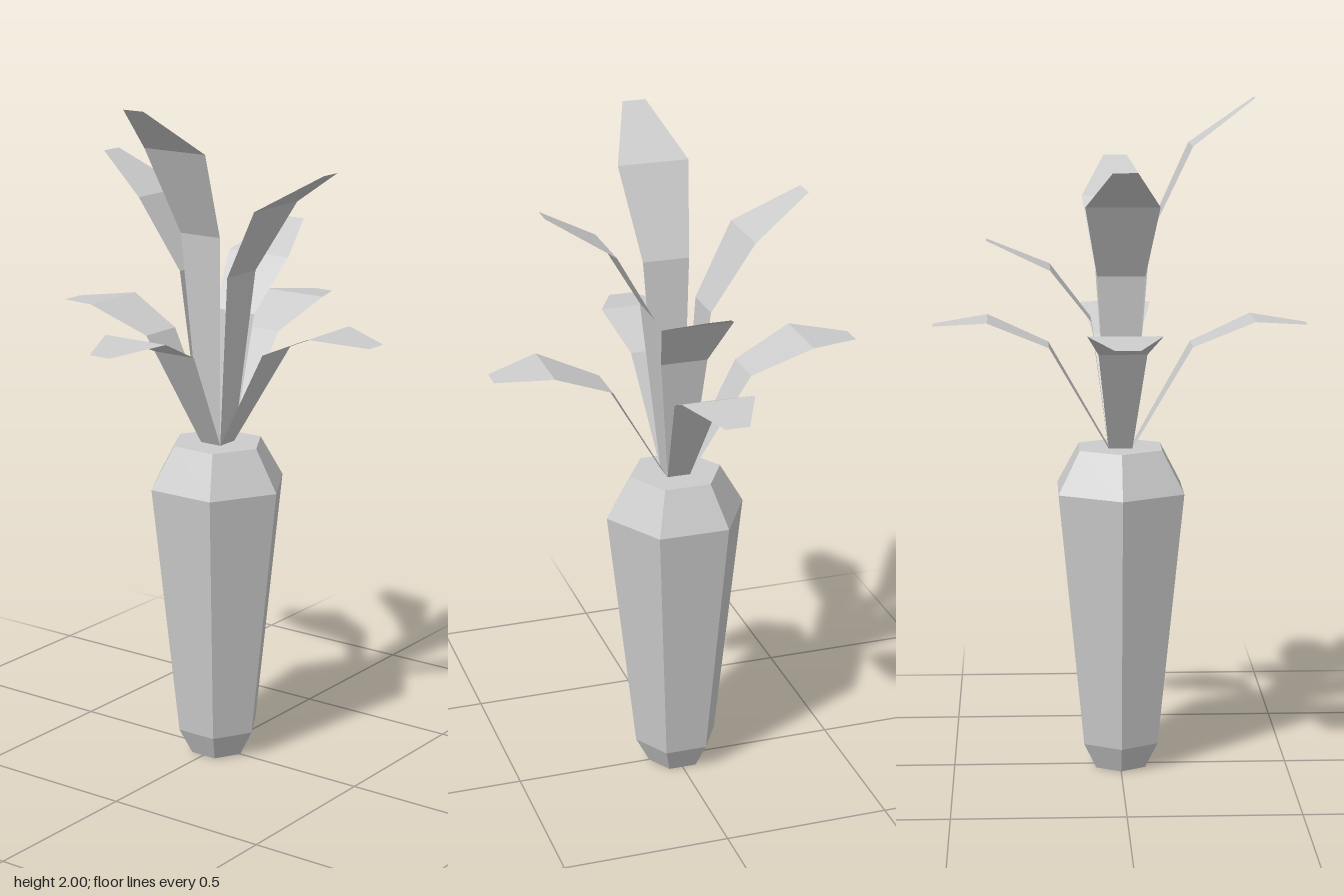
import * as THREE from 'three';

const rootMaterial = new THREE.MeshStandardMaterial({ color: 0xcccccc, flatShading: true });
const leafMaterial = new THREE.MeshStandardMaterial({
  color: 0xcccccc, flatShading: true, side: THREE.DoubleSide,
});

const BASE_Y = 0.975;
const HALF_WIDTHS = [0.035, 0.07, 0.107, 0.035];

// Thin bent strip growing along +z; stations are [distance outwards, height].
function makeLeaf(name, stations, angle) {
  const positions = [];
  const index = [];
  stations.forEach(([z, y], i) => {
    const w = HALF_WIDTHS[i];
    positions.push(-w, y, z, w, y, z);
    if (i > 0) {
      const a = (i - 1) * 2;
      index.push(a, a + 2, a + 1, a + 1, a + 2, a + 3);
    }
  });
  const geometry = new THREE.BufferGeometry();
  geometry.setAttribute('position', new THREE.Float32BufferAttribute(positions, 3));
  geometry.setIndex(index);
  geometry.computeVertexNormals();
  const leaf = new THREE.Mesh(geometry, leafMaterial);
  leaf.name = name;
  leaf.rotation.y = angle;
  return leaf;
}

export function createModel() {
  const model = new THREE.Group();
  model.name = 'rootVegetable';

  // Six-sided tapering root, closed at both ends
  const profile = [[0, 0], [0.085, 0], [0.127, 0.08], [0.213, 0.85], [0.14, BASE_Y], [0, BASE_Y]];
  const root = new THREE.Mesh(
    new THREE.LatheGeometry(profile.map(([r, y]) => new THREE.Vector2(r, y)), 6),
    rootMaterial,
  );
  root.name = 'root';
  model.add(root);

  // Each side carries one upright leaf of its own height and one low drooping leaf
  const leaves = new THREE.Group();
  leaves.name = 'leaves';
  const uprightLengths = [0.835, 0.615, 0.835, 1.025]; // front, left, back, right
  uprightLengths.forEach((length, i) => {
    const angle = (i * Math.PI) / 2;
    leaves.add(makeLeaf('uprightLeaf', [
      [0.035, BASE_Y],
      [0.085, BASE_Y + length * 0.617],
      [0.205, BASE_Y + length * 0.868],
      [0.39, BASE_Y + length],
    ], angle));
    leaves.add(makeLeaf('lowLeaf', [
      [0.035, BASE_Y], [0.21, 1.28], [0.39, 1.358], [0.55, 1.34],
    ], angle));
  });
  model.add(leaves);

  return model;
}
